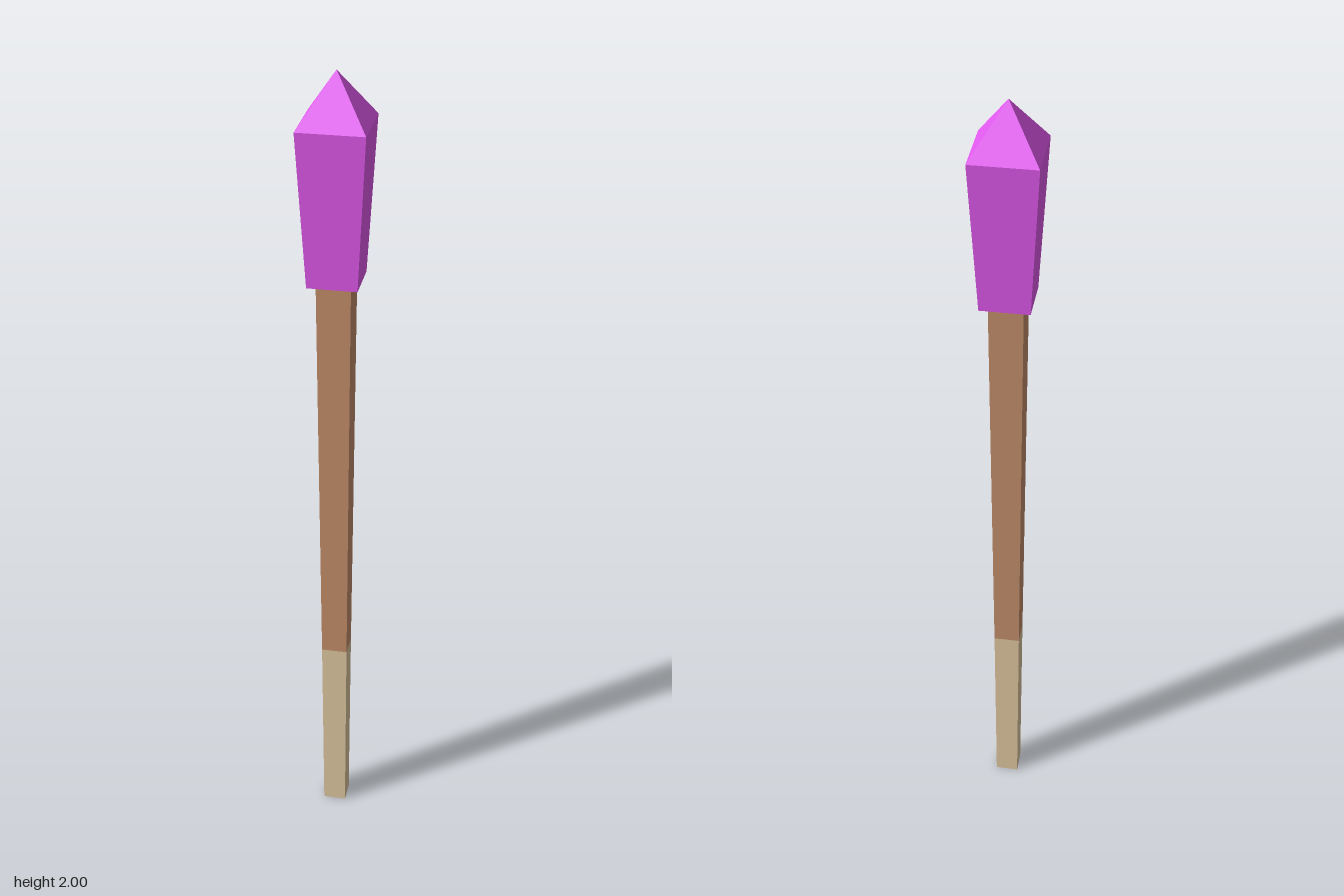
import * as THREE from 'three';

// Four-sided tapered segment with its corners on the x and z axes
function taper(name, color, y0, r0, y1, r1, openEnded = false) {
  const geometry = new THREE.CylinderGeometry(r1, r0, y1 - y0, 4, 1, openEnded);
  const material = new THREE.MeshStandardMaterial({ color, flatShading: true });
  const mesh = new THREE.Mesh(geometry, material);
  mesh.name = name;
  mesh.position.y = (y0 + y1) / 2;
  return mesh;
}

export function createModel() {
  const model = new THREE.Group();
  model.name = 'crystalTippedStick';

  // Stick: pale lower end and brown shaft, widening slightly upwards
  model.add(taper('paleEnd', 0xe6cda5, 0, 0.04, 0.485, 0.045));
  model.add(taper('shaft', 0xc9926d, 0.485, 0.045, 1.505, 0.058));

  // Crystal: flared body with a pointed cap
  const crystal = new THREE.Group();
  crystal.name = 'crystal';
  crystal.add(taper('crystalBody', 0xe85cf5, 1.505, 0.084, 1.88, 0.113));
  crystal.add(taper('crystalPoint', 0xe85cf5, 1.88, 0.113, 2, 0, true));
  model.add(crystal);

  return model;
}
